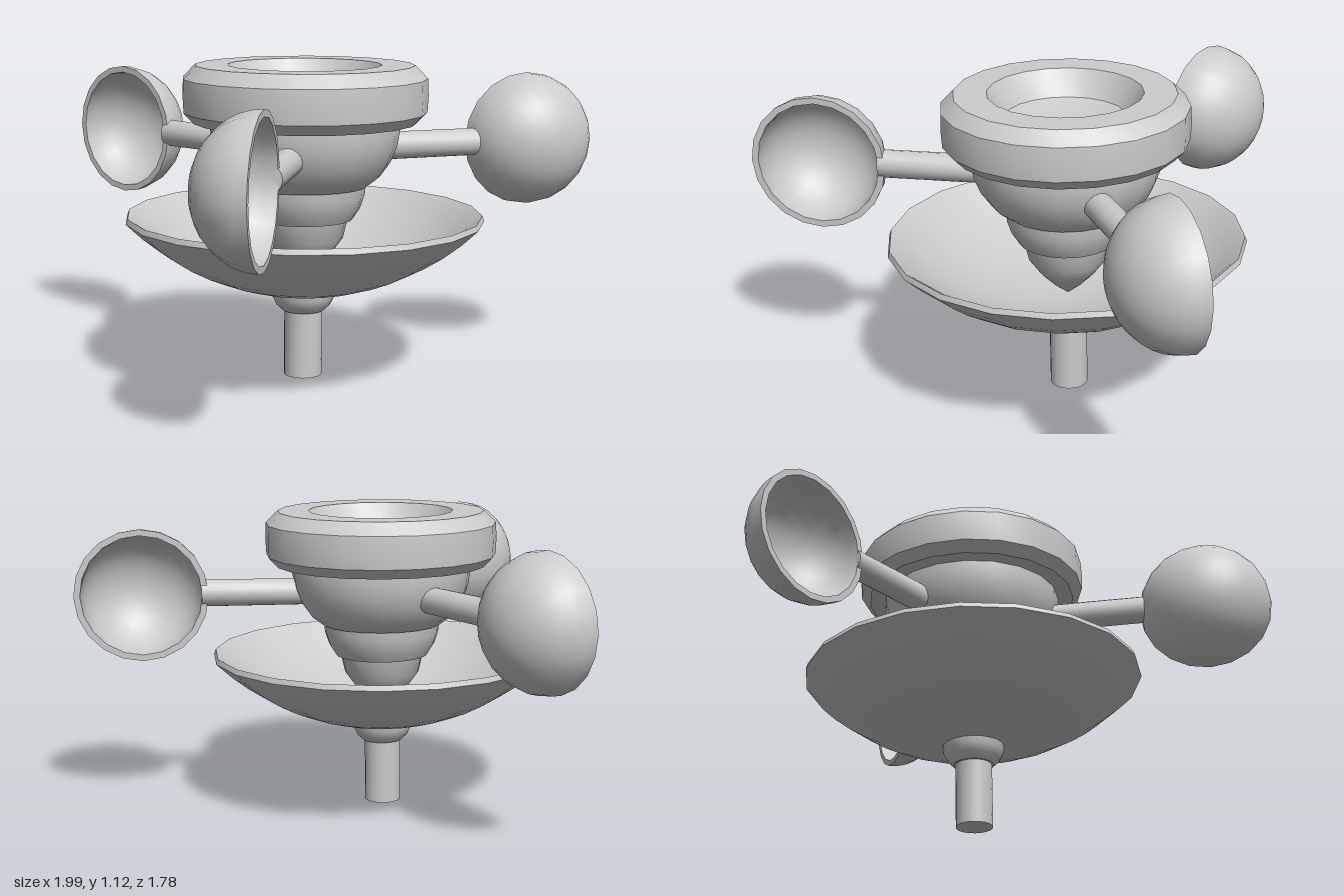
import * as THREE from 'three';
import { toCreasedNormals } from 'three/addons/utils/BufferGeometryUtils.js';

const material = new THREE.MeshStandardMaterial({ color: 0xcccccc });
const SEGMENTS = 20;

function mesh(name, geometry) {
  const m = new THREE.Mesh(toCreasedNormals(geometry, 0.55), material);
  m.name = name;
  return m;
}

// Turned part from [radius, height] pairs, solid on the left of the path
function turned(name, points) {
  return mesh(name, new THREE.LatheGeometry(points.map(([r, y]) => new THREE.Vector2(r, y)), SEGMENTS));
}

// Elliptical profile arc centred on the axis, angles measured from the radius axis
function arc(rx, ry, cy, from, to, steps) {
  return Array.from({ length: steps + 1 }, (_, i) => {
    const a = from + (to - from) * i / steps;
    return [Math.max(0, rx * Math.cos(a)), cy + ry * Math.sin(a)];
  });
}

// Shallow spherical bowl profile from the axis out to the rim
function bowl(radius, bottom, depth, steps) {
  const R = (radius * radius + depth * depth) / (2 * depth);
  const end = Math.asin(radius / R);
  return Array.from({ length: steps + 1 }, (_, i) => {
    const a = end * i / steps;
    return [R * Math.sin(a), bottom + R * (1 - Math.cos(a))];
  });
}

// Wind cup on its radial arm, pointing to -z with the dome towards +x
function cupArm() {
  const g = new THREE.Group();
  g.name = 'cupArm';
  const arm = mesh('arm', new THREE.CylinderGeometry(0.05, 0.05, 0.47, 16));
  arm.rotation.x = Math.PI / 2;
  arm.position.z = -0.435;
  const cup = turned('cup', [
    ...arc(0.222, 0.203, 0, Math.PI / 2, 0, 9),
    ...arc(0.245, 0.223, 0, 0, Math.PI / 2, 9),
  ]);
  cup.rotation.z = -Math.PI / 2;
  cup.position.set(-0.036, 0, -0.89);
  g.add(arm, cup);
  return g;
}

export function createModel() {
  const model = new THREE.Group();
  model.name = 'cupRotor';
  model.position.set(-0.008, 0, 0.246);

  // Shaft and the collar under the dish
  const shaft = mesh('shaft', new THREE.CylinderGeometry(0.068, 0.068, 0.34, SEGMENTS));
  shaft.position.y = 0.17;
  model.add(shaft);
  model.add(turned('collar', [[0, 0.24], [0.075, 0.24], [0.098, 0.262], [0.112, 0.29], [0.116, 0.325], [0, 0.325]]));

  // Thin open dish
  model.add(turned('dish', [
    ...bowl(0.637, 0.305, 0.27, 9),
    [0.63, 0.594],
    ...bowl(0.612, 0.345, 0.238, 9).reverse(),
  ]));

  // Stepped rounded cups rising to the hub
  model.add(turned('lowerStep', [[0, 0.36], [0.05, 0.4], [0.1, 0.45], [0.14, 0.505], [0.16, 0.59], [0, 0.59]]));
  model.add(turned('middleStep', [[0, 0.575], [0.175, 0.575], [0.2, 0.615], [0.215, 0.66], [0.22, 0.71], [0, 0.71]]));
  model.add(turned('hub', [[0, 0.695], [0.225, 0.695], [0.27, 0.73], [0.305, 0.78], [0.327, 0.835],
    [0.336, 0.89], [0.336, 0.94], [0, 0.94]]));

  // Bevelled head ring with a shallow bowl in its top
  model.add(turned('headRing', [
    [0, 0.92], [0.395, 0.92], [0.43, 0.957], [0.433, 1.015], [0.43, 1.075], [0.385, 1.12], [0.27, 1.12],
    ...bowl(0.213, 0.99, 0.04, 5).reverse(),
  ]));

  // Three cups evenly spaced around the hub
  for (let i = 0; i < 3; i++) {
    const unit = cupArm();
    unit.position.y = 0.82;
    unit.rotation.y = i * Math.PI * 2 / 3;
    model.add(unit);
  }

  const group = new THREE.Group();
  group.add(model);
  return group;
}
